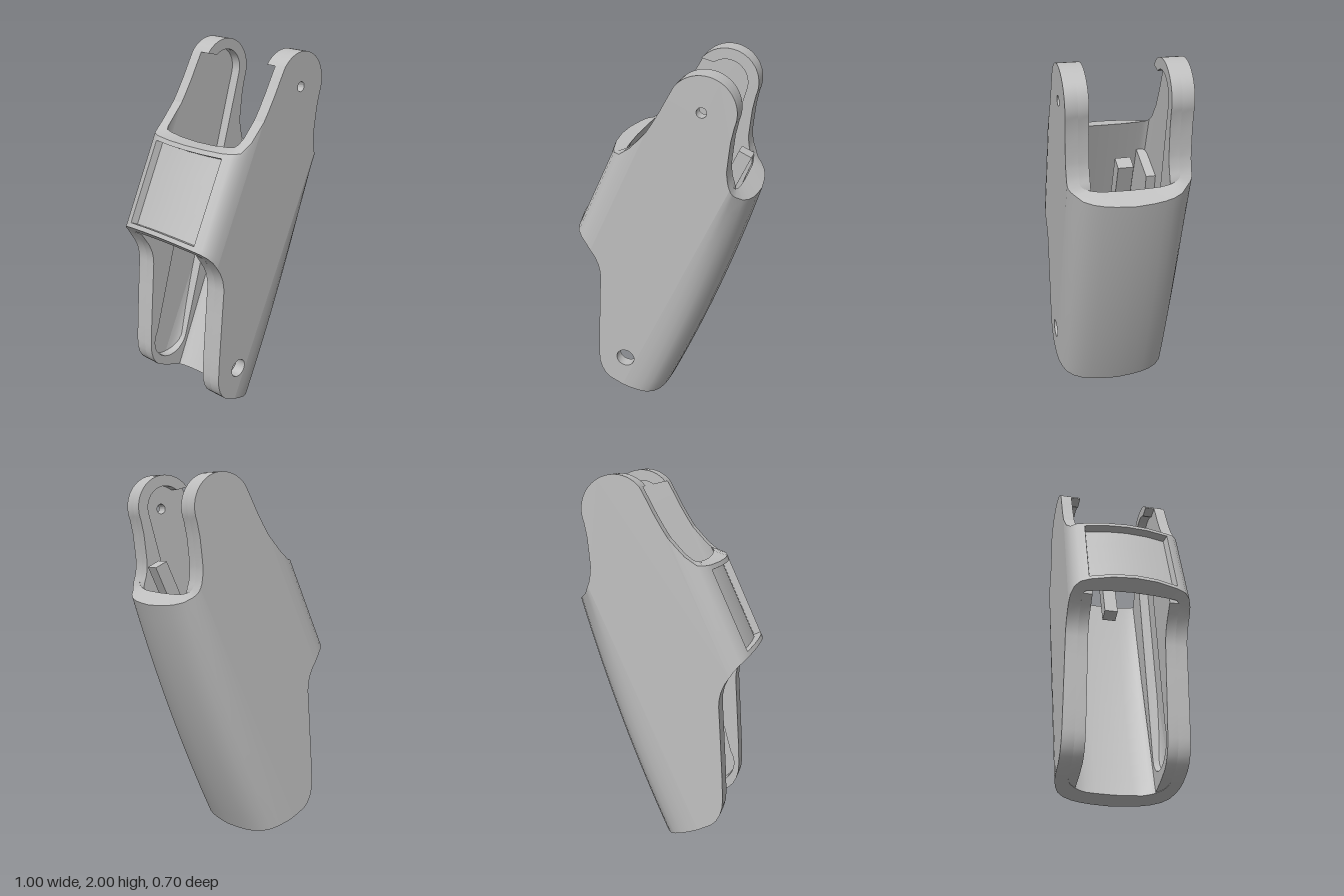
import * as THREE from 'three';
import { toCreasedNormals } from 'three/addons/utils/BufferGeometryUtils.js';

// Local frame: x runs across the link, y along its axis, z across its width.
// The finished group is tilted about z.
const TILT = 0.4334;
const PIN = [-0.547, 1.751], PIVOT = [-0.299, 0.17];

const arc = (cx, cy, r, a0, a1, n) => Array.from({ length: n + 1 }, (_, i) => {
  const a = (a0 + (a1 - a0) * i / n) * Math.PI / 180;
  return [cx + r * Math.cos(a), cy + r * Math.sin(a)];
});

// Upper and lower outlines, from the palm side (-x) to the knuckle side (x = 0)
const lobe = arc(...PIN, 0.18, 165, 3, 24);
const lobeToBack = [[-0.349, 1.68], [-0.322, 1.6], [-0.3, 1.537], [-0.288, 1.513],
  [-0.27, 1.483], [-0.255, 1.463], [-0.24, 1.448]];
const topWall = [[-0.75, 1.5], [-0.741, 1.56], [-0.732, 1.64], [-0.727, 1.72], ...lobe, ...lobeToBack];
const topPalm = [[-0.91, 1.275], [-0.88, 1.285], [-0.828, 1.313], [-0.795, 1.37], [-0.771, 1.427], [-0.75, 1.5]];
const topBack = [[-0.24, 1.448], [-0.2, 1.438], [-0.16, 1.428], [-0.13, 1.421], [-0.095, 1.414], [-0.06, 1.405], [0, 1.398]];
const lowWall = [[-0.75, 0.71], [-0.715, 0.688], [-0.678, 0.655], [-0.652, 0.62], [-0.635, 0.587], [-0.581, 0.447],
  [-0.49, 0.214], [-0.444, 0.103], [-0.422, 0.06], [-0.393, 0.025], [-0.36, 0], [-0.325, -0.013], [-0.24, -0.015]];
const lowPalm = [[-0.91, 0.773], [-0.84, 0.755], [-0.779, 0.73], [-0.75, 0.71]];
const lowBack = [[-0.24, -0.015], [0, 0]];

function lookup(list, x) {
  for (let i = 1; i < list.length; i++) {
    const [x0, y0] = list[i - 1], [x1, y1] = list[i];
    if (x <= x1) return y0 + (y1 - y0) * Math.max(0, (x - x0) / (x1 - x0));
  }
  return list[list.length - 1][1];
}

// The side walls lean slightly in z along the length
function finish(geo, crease = 0.6) {
  const p = geo.attributes.position;
  for (let i = 0; i < p.count; i++) p.setZ(i, p.getZ(i) + 0.022 * (p.getY(i) - 0.95));
  return toCreasedNormals(geo, crease);
}

function slab(points, z, depth, holes = []) {
  const shape = new THREE.Shape(points.map(p => new THREE.Vector2(...p)));
  for (const [x, y, r] of holes) {
    const hole = new THREE.Path();
    hole.absarc(x, y, r, 0, Math.PI * 2, true);
    shape.holes.push(hole);
  }
  const geo = new THREE.ExtrudeGeometry(shape, { depth, bevelEnabled: false, curveSegments: 16 });
  geo.translate(0, 0, z);
  return finish(geo);
}

// Thick curved wall: columns of [outerZ, outerX, innerZ, innerX, recessed],
// each running from the lower outline to the upper one
function curvedWall(columns, low, high, rows, sunk, bend) {
  const place = (x, z, t, dent) => {
    const lo = lookup(low, x), y = lo + (lookup(high, x) - lo) * t;
    const w = bend ? Math.min(1, Math.max(0, (x + 0.24) / 0.14)) : 0;
    return [x + dent - 0.05 * y * y * w, y, z];
  };
  const pos = [], index = [];
  for (const [oz, ox, iz, ix, recessed] of columns) {
    rows.forEach((t, j) => pos.push(...place(ox, oz, t, recessed ? 0.042 * sunk[j] : 0)));
    [...rows].reverse().forEach(t => pos.push(...place(ix, iz, t, 0)));
  }
  const n = rows.length * 2;
  for (let i = 0; i < columns.length - 1; i++) {
    for (let j = 0; j < n; j++) {
      const a = i * n + j, b = i * n + (j + 1) % n, c = a + n, d = b + n;
      index.push(a, b, c, b, d, c);
    }
  }
  const geo = new THREE.BufferGeometry();
  geo.setAttribute('position', new THREE.Float32BufferAttribute(pos, 3));
  geo.setIndex(index);
  return finish(geo);
}

const flip = list => list.map(([oz, ox, iz, ix, r]) => [-oz, ox, -iz, ix, r]).reverse();

export function createModel() {
  const group = new THREE.Group();
  const grey = new THREE.MeshStandardMaterial({ color: 0xbfbfbf });
  grey.name = 'grey';
  const add = (name, geo) => {
    const mesh = new THREE.Mesh(geo, grey);
    mesh.name = name;
    group.add(mesh);
  };

  // Knuckle-side wall, bowed along its length
  const back = [[0, 0, 0, -0.1], [0.1, -0.008, 0.1, -0.105], [0.16, -0.018, 0.15, -0.11], [0.21, -0.032, 0.19, -0.125],
    [0.26, -0.058, 0.22, -0.145], [0.295, -0.095, 0.245, -0.17], [0.314, -0.14, 0.256, -0.195],
    [0.326, -0.19, 0.262, -0.218], [0.33, -0.24, 0.265, -0.24]];
  const steps = Array.from({ length: 17 }, (_, i) => i / 16);
  add('backWall', curvedWall([...flip(back.slice(1)), ...back], lowBack, topBack, steps, steps, true));

  // Palm-side band with a sunken window
  const palm = [[0.33, -0.75, 0.265, -0.75], [0.326, -0.79, 0.264, -0.785], [0.312, -0.83, 0.258, -0.805],
    [0.285, -0.86, 0.245, -0.815], [0.24, -0.877, 0.225, -0.818], [0.228, -0.88, 0.21, -0.82, true],
    [0.12, -0.902, 0.12, -0.826, true], [0, -0.91, 0, -0.83, true]];
  add('palmBand', curvedWall([...palm, ...flip(palm.slice(0, -1))], lowPalm, topPalm,
    [0, 0.05, 0.051, 0.35, 0.65, 0.949, 0.95, 1], [0, 0, 1, 1, 1, 1, 0, 0], false));

  // Side walls; only the front one is drilled
  const side = [...lowWall, ...[...topWall].reverse()];
  add('frontSideWall', slab(side, 0.265, 0.065, [[-0.543, 1.745, 0.027], [...PIVOT, 0.052]]));
  add('rearSideWall', slab(side, -0.33, 0.065));

  // Raised inner linings that leave a long channel between the two pivots
  const lining = [
    ...lobe, ...lobeToBack,
    [-0.222, 1.425], [-0.21, 1.4], [-0.17, 0.8], [-0.14, -0.005],
    ...[...lowWall].reverse(), [-0.8, 0.74], [-0.815, 0.8], [-0.815, 1.12], [-0.585, 1.12],
    ...arc(...PIVOT, 0.13, 171, 369, 18),
    ...arc(...PIN, 0.12, 9, 150, 14),
  ];
  add('frontLining', slab(lining, 0.21, 0.055));
  add('rearLining', slab(lining, -0.265, 0.055));

  // Stop post standing inside the knuckle-side wall
  const post = new THREE.BoxGeometry(0.075, 0.3, 0.08);
  post.translate(-0.262, 1.403, 0.038);
  add('stopPost', finish(post));

  group.rotation.z = -TILT;
  const model = new THREE.Group();
  model.name = 'linkShell';
  model.add(group);
  return model;
}
